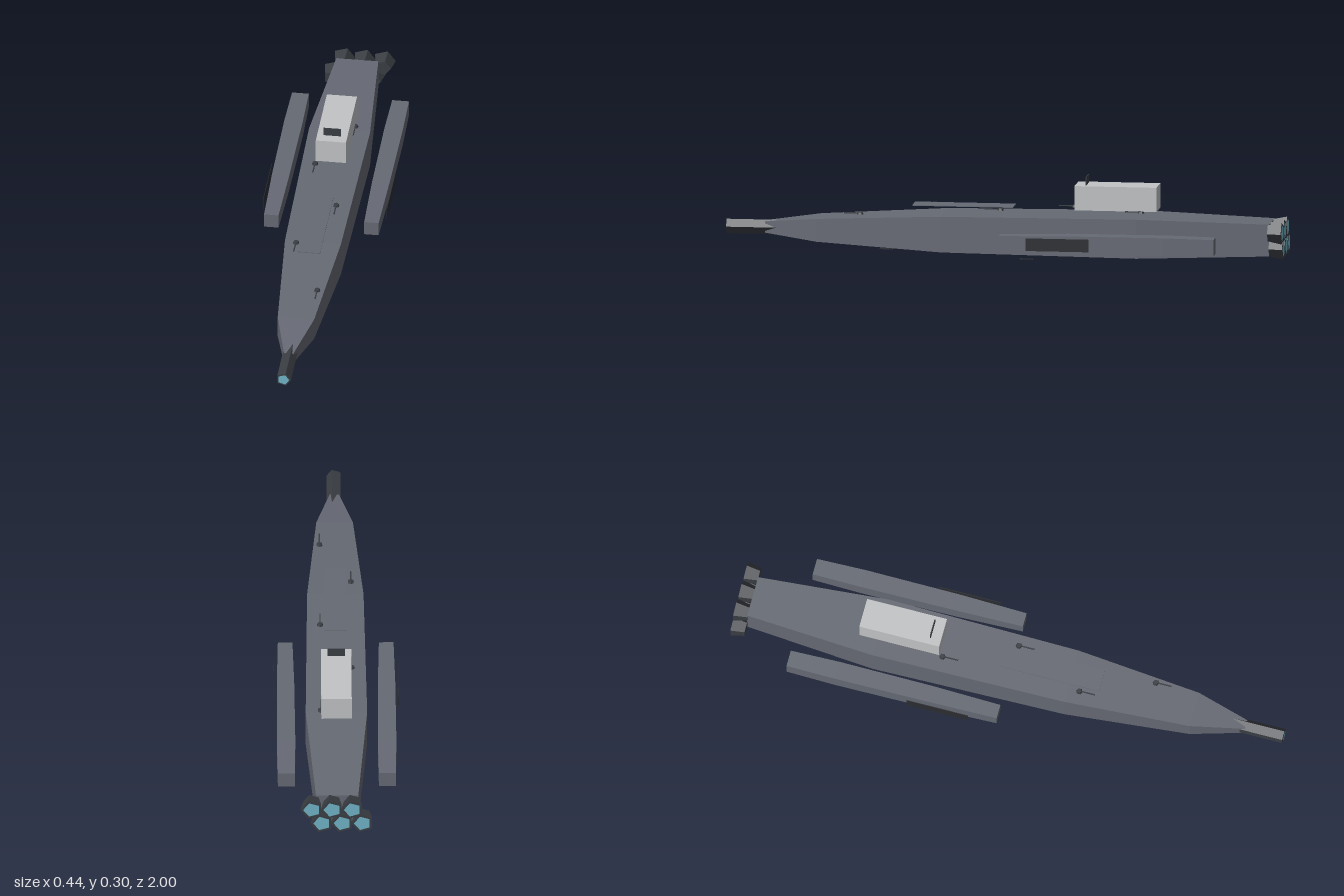
import * as THREE from 'three';

const mat = (name, color) => {
  const m = new THREE.MeshStandardMaterial({ color, flatShading: true });
  m.name = name;
  return m;
};

// Rectangular sections [z, halfWidth, halfHeight], listed back to front, joined into a closed body
function loftBox(sections) {
  const pos = [];
  const rings = sections.map(([z, w, h]) => [[w, h, z], [-w, h, z], [-w, -h, z], [w, -h, z]]);
  const tri = (a, b, c) => pos.push(...a, ...b, ...c);
  const quad = (a, b, c, d) => { tri(a, b, c); tri(a, c, d); };
  for (let i = 0; i < rings.length - 1; i++) {
    for (let j = 0; j < 4; j++) {
      const k = (j + 1) % 4;
      quad(rings[i + 1][k], rings[i + 1][j], rings[i][j], rings[i][k]);
    }
  }
  quad(...rings[rings.length - 1]);
  quad(...[...rings[0]].reverse());
  const g = new THREE.BufferGeometry();
  g.setAttribute('position', new THREE.Float32BufferAttribute(pos, 3));
  g.computeVertexNormals();
  return g;
}

// Five-sided tube along z, one corner towards +x
function pentagonTube(rFront, rBack, length) {
  return new THREE.CylinderGeometry(rFront, rBack, length, 5)
    .rotateY(Math.PI / 2).rotateX(Math.PI / 2);
}

// Flat glowing pentagon facing +z
const pentagonDisc = (r) => new THREE.CircleGeometry(r, 5);

export function createModel() {
  const hullGrey = mat('hullGrey', 0x666a74);
  const darkMetal = mat('darkMetal', 0x3a3e43);
  const panelBlack = mat('panelBlack', 0x2a2d32);
  const paleGrey = mat('paleGrey', 0xc2c4c6);
  const glowBlue = mat('glowBlue', 0x70b4c6);

  const model = new THREE.Group();
  const add = (name, geo, material, x = 0, y = 0, z = 0, parent = model) => {
    const mesh = new THREE.Mesh(geo, material);
    mesh.name = name;
    mesh.position.set(x, y, z);
    parent.add(mesh);
    return mesh;
  };
  const box = (w, h, d) => new THREE.BoxGeometry(w, h, d);

  // Main hull
  add('hull', loftBox([
    [-0.95, 0.075, 0.057],
    [-0.48, 0.109, 0.07],
    [0.22, 0.1, 0.064],
    [0.67, 0.065, 0.041],
    [0.86, 0.017, 0.02],
  ]), hullGrey, 0, 0.09, 0);

  // Nose gun
  add('noseBarrel', pentagonTube(0.027, 0.027, 0.21), darkMetal, 0, 0.09, 0.893);
  add('noseGlow', pentagonDisc(0.021), glowBlue, 0, 0.09, 0.9995);

  // Two staggered rows of engines
  for (const [y, shift] of [[0.12, 0.018], [0.06, -0.018]]) {
    for (const i of [-1, 0, 1]) {
      const engine = new THREE.Group();
      engine.name = 'engine';
      engine.position.set(i * 0.072 + shift, y, 0);
      model.add(engine);
      add('nozzle', pentagonTube(0.03, 0.041, 0.05), darkMetal, 0, 0, -0.974, engine);
      const glow = add('exhaustGlow', pentagonDisc(0.031), glowBlue, 0, 0, -1, engine);
      glow.rotation.set(Math.PI, 0, 0);
    }
  }

  // Side pods with outer panels
  const podGeo = loftBox([
    [-0.77, 0.03, 0.029],
    [-0.59, 0.033, 0.032],
    [-0.25, 0.031, 0.031],
    [0, 0.026, 0.026],
  ]);
  for (const s of [1, -1]) {
    add(s > 0 ? 'leftPod' : 'rightPod', podGeo, hullGrey, s * 0.179, 0.08, 0);
    add(s > 0 ? 'leftPodPanel' : 'rightPodPanel', box(0.002, 0.045, 0.225), panelBlack,
      s * 0.221, 0.08, -0.213);
  }

  // Raised bridge with its lookout screen
  add('bridge', box(0.108, 0.087, 0.293), paleGrey, 0, 0.2235, -0.398);
  add('bridgeScreen', box(0.062, 0.03, 0.003), darkMetal, 0, 0.282, -0.29);

  // Foredeck hatch
  add('deckHatch', box(0.08, 0.003, 0.36), hullGrey, 0, 0.183, 0.15);

  // Deck turrets on alternating sides
  for (let i = 0; i < 5; i++) {
    const turret = new THREE.Group();
    turret.name = 'deckTurret';
    turret.position.set(i % 2 ? -0.055 : 0.055, i === 4 ? 0.149 : 0.174, -0.49 + i * 0.251);
    model.add(turret);
    add('turretBase', new THREE.CylinderGeometry(0.009, 0.012, 0.008, 6), darkMetal, 0, 0.004, 0, turret);
    add('turretBarrel', box(0.004, 0.004, 0.055), darkMetal, 0, 0.005, 0.03, turret);
  }

  // Keel guns on alternating sides
  for (let i = 0; i < 4; i++) {
    add('keelGun', box(0.004, 0.004, 0.048), panelBlack,
      i % 2 ? 0.055 : -0.055, i === 3 ? 0.028 : 0.002, -0.33 + i * 0.25);
  }

  return model;
}
